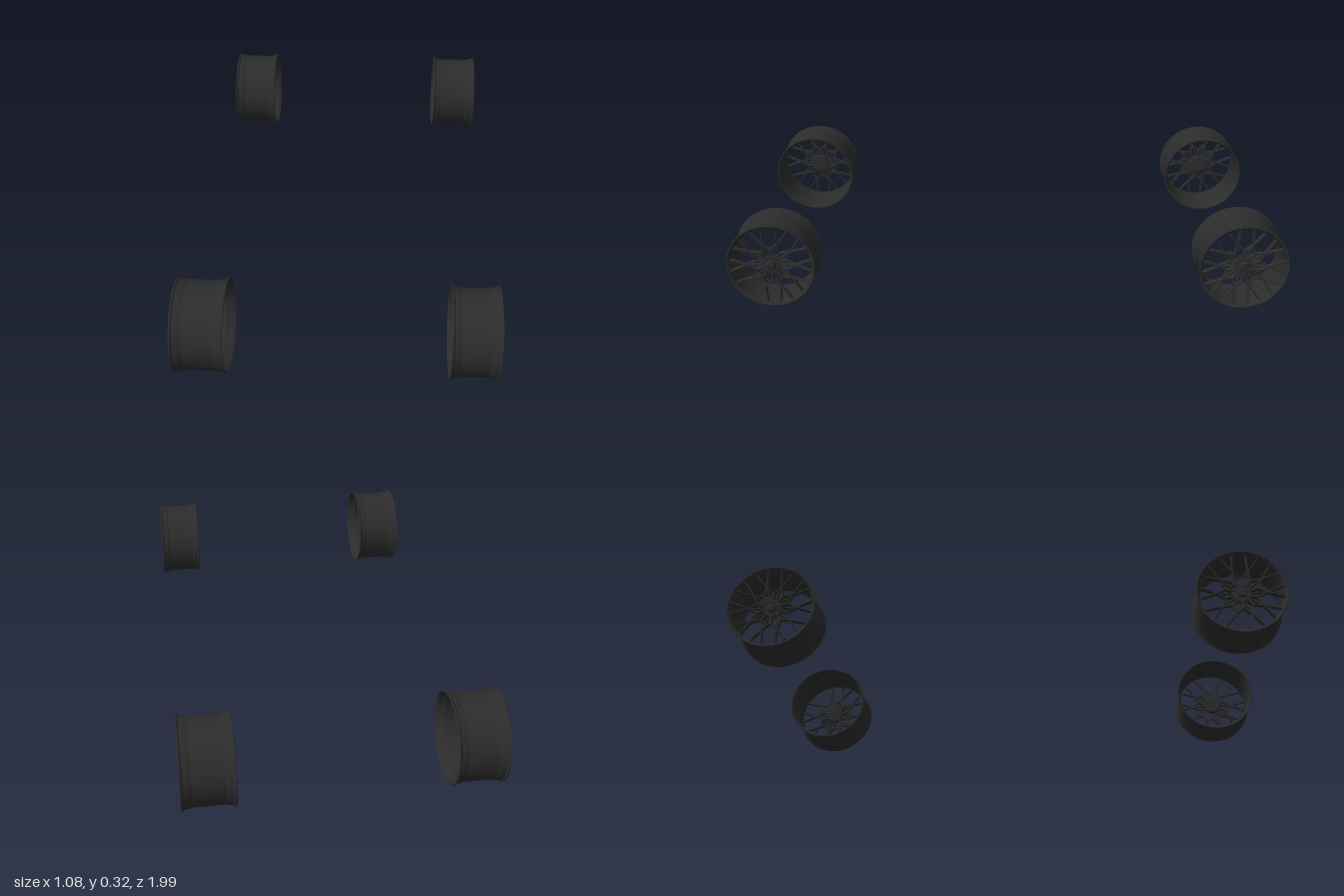
import * as THREE from 'three';
import { mergeGeometries, toCreasedNormals } from 'three/addons/utils/BufferGeometryUtils.js';

const SPOKES = 10;
const material = new THREE.MeshStandardMaterial({ color: 0x2c2c2c });

// Point on the wheel face; the wheel axis is z and +z is outward
const polar = (r, angle, z) => new THREE.Vector3(r * Math.sin(angle), r * Math.cos(angle), z);

// Bar between two points, with a narrower front edge
function strut(a, b, width, depth) {
  const dir = b.clone().sub(a);
  const length = dir.length() + width * 0.5;
  dir.normalize();
  const side = dir.clone().cross(new THREE.Vector3(0, 0, 1)).normalize();
  const out = side.clone().cross(dir);
  const geo = new THREE.BoxGeometry(width, length, depth);
  const p = geo.attributes.position;
  for (let i = 0; i < p.count; i++) if (p.getZ(i) > 0) p.setX(i, p.getX(i) * 0.7);
  geo.applyMatrix4(new THREE.Matrix4().makeBasis(side, dir, out)
    .setPosition(a.clone().add(b).multiplyScalar(0.5)));
  geo.computeVertexNormals();
  return geo;
}

// Closed rim section: [radius, axial position], outside inboard to outboard, then back inside
function rimGeometry() {
  const profile = [
    [0.157, -0.088], [0.161, -0.087], [0.161, -0.083], [0.155, -0.077], [0.153, -0.060],
    [0.1505, -0.056], [0.1505, 0.052], [0.153, 0.056], [0.155, 0.077], [0.161, 0.083],
    [0.161, 0.087], [0.157, 0.088], [0.150, 0.082], [0.147, 0.072], [0.1465, 0.050],
    [0.1465, -0.056], [0.150, -0.062], [0.151, -0.078], [0.157, -0.088],
  ].map(([r, z]) => new THREE.Vector2(r, z));
  const geo = new THREE.LatheGeometry(profile, 72);
  geo.rotateX(Math.PI / 2);
  return toCreasedNormals(geo, 0.5);
}

// Mesh of spokes: each leaves the hub, forks to its neighbours, and forks again to the rim
function spokeGeometry() {
  const parts = [];
  const step = (Math.PI * 2) / SPOKES;
  for (let i = 0; i < SPOKES; i++) {
    const a = i * step;
    const fork = polar(0.058, a, 0.066);
    parts.push(strut(polar(0.026, a, 0.064), fork, 0.009, 0.018));
    for (const s of [-1, 1]) {
      const node = polar(0.088, a + s * step / 2, 0.069);
      parts.push(strut(fork, node, 0.0065, 0.016));
    }
    const b = a + step / 2;
    const node = polar(0.088, b, 0.069);
    parts.push(strut(polar(0.03, b, 0.062), node, 0.005, 0.012));
    for (const s of [-1, 1])
      parts.push(strut(node, polar(0.149, b + s * 0.15, 0.074), 0.0065, 0.016));
  }
  return mergeGeometries(parts);
}

function hubGeometry() {
  const profile = [[0, 0.045], [0.033, 0.045], [0.035, 0.048], [0.035, 0.066], [0.032, 0.070],
    [0.018, 0.070], [0.016, 0.074], [0.012, 0.077], [0, 0.078]]
    .map(([r, z]) => new THREE.Vector2(r, z));
  const geo = new THREE.LatheGeometry(profile, 40);
  geo.rotateX(Math.PI / 2);
  return toCreasedNormals(geo, 0.5);
}

function boltGeometry() {
  const bolts = [];
  for (let i = 0; i < 5; i++) {
    const bolt = new THREE.CylinderGeometry(0.0038, 0.0038, 0.008, 6);
    bolt.rotateX(Math.PI / 2);
    const p = polar(0.025, (i * Math.PI * 2) / 5, 0.072);
    bolts.push(bolt.translate(p.x, p.y, p.z));
  }
  return mergeGeometries(bolts);
}

export function createModel() {
  const model = new THREE.Group();
  model.name = 'wheelSet';
  const parts = {
    rim: rimGeometry(), spokes: spokeGeometry(), hub: hubGeometry(), lugBolts: boltGeometry(),
  };
  // Wheel name, inner and outer x, z, radius
  const wheels = [
    ['frontRightWheel', -0.363, -0.538, 0.832, 0.161],
    ['rearRightWheel', -0.363, -0.538, -0.839, 0.161],
    ['frontLeftWheel', 0.372, 0.535, 0.832, 0.157],
    ['rearLeftWheel', 0.355, 0.537, -0.84, 0.159],
  ];
  for (const [name, inner, outer, z, radius] of wheels) {
    const wheel = new THREE.Group();
    wheel.name = name;
    for (const [part, geo] of Object.entries(parts)) {
      const mesh = new THREE.Mesh(geo, material);
      mesh.name = part;
      wheel.add(mesh);
    }
    const k = radius / 0.161;
    wheel.scale.set(k, k, Math.abs(outer - inner) / 0.176);
    wheel.rotation.y = Math.sign(outer) * Math.PI / 2;
    wheel.position.set((inner + outer) / 2, 0.1615, z);
    model.add(wheel);
  }
  return model;
}
